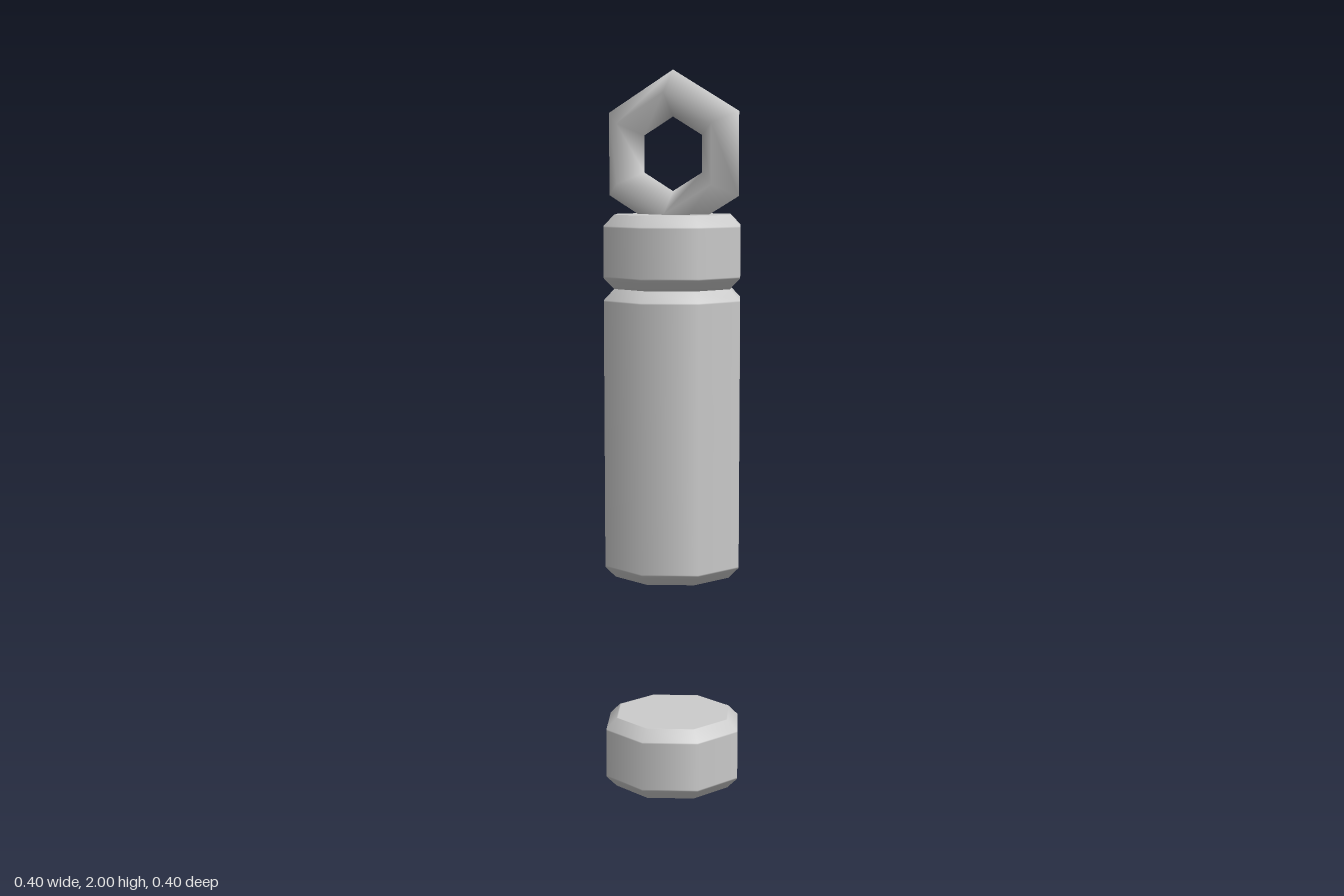
import * as THREE from 'three';

const material = new THREE.MeshStandardMaterial({ color: 0xcccccc });
const RADIUS = 0.2;
const BEVEL = 0.03;
const EDGE = 0.004; // support rings keep the flats flat and the bevels soft

// Eight-sided drum with bevelled rims, standing on y = bottom
function drum(name, bottom, height) {
  const inner = RADIUS - BEVEL;
  const half = [
    [0, 0],
    [inner - EDGE, 0],
    [inner, 0],
    [RADIUS, BEVEL],
    [RADIUS, BEVEL + EDGE],
  ];
  const profile = [
    ...half.map(([r, y]) => new THREE.Vector2(r, y)),
    ...half.slice().reverse().map(([r, y]) => new THREE.Vector2(r, height - y)),
  ];
  const mesh = new THREE.Mesh(new THREE.LatheGeometry(profile, 8), material);
  mesh.name = name;
  mesh.position.y = bottom;
  return mesh;
}

export function createModel() {
  const model = new THREE.Group();
  model.name = 'capsule';

  // Detached base, long body and top cap
  model.add(drum('baseCap', 0, 0.2));
  model.add(drum('body', 0.61, 0.802));
  model.add(drum('topCap', 1.412, 0.2));

  // Hexagonal hanging ring, point up, set diagonally and sunk into the cap
  const ringGeometry = new THREE.TorusGeometry(0.1625, 0.0625, 4, 6);
  ringGeometry.rotateZ(Math.PI / 6);
  const ring = new THREE.Mesh(ringGeometry, material);
  ring.name = 'hangingRing';
  ring.position.y = 1.775;
  ring.rotation.y = -Math.PI / 4;
  model.add(ring);

  return model;
}
